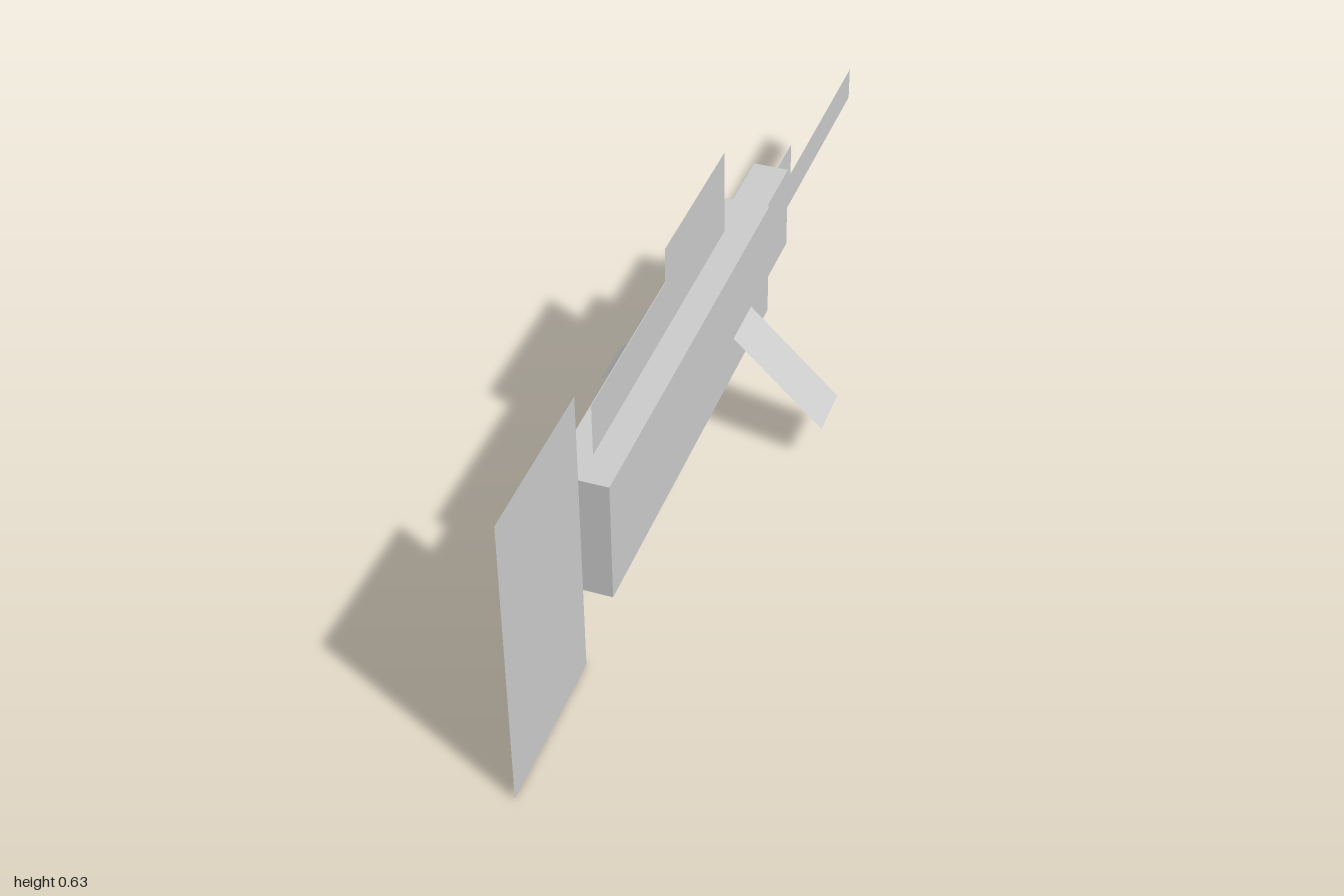
import * as THREE from 'three';

const CX = -0.007; // middle plane of the body

export function createModel() {
  const group = new THREE.Group();
  const solid = new THREE.MeshStandardMaterial({ color: 0xcccccc, flatShading: true });
  const sheet = new THREE.MeshStandardMaterial({ color: 0xcccccc, flatShading: true, side: THREE.DoubleSide });

  function add(name, geometry, material) {
    const mesh = new THREE.Mesh(geometry, material);
    mesh.name = name;
    group.add(mesh);
    return mesh;
  }

  // Box given by its limits on each axis
  function box(name, [x0, x1], [y0, y1], [z0, z1]) {
    const mesh = add(name, new THREE.BoxGeometry(x1 - x0, y1 - y0, z1 - z0), solid);
    mesh.position.set((x0 + x1) / 2, (y0 + y1) / 2, (z0 + z1) / 2);
  }

  // Thin upright plate in the middle plane, outlined by [z, y] points
  function plate(name, outline) {
    const shape = new THREE.Shape(outline.map(([z, y]) => new THREE.Vector2(-z, y)));
    const mesh = add(name, new THREE.ShapeGeometry(shape), sheet);
    mesh.rotation.y = Math.PI / 2;
    mesh.position.x = CX;
  }

  // Body and the narrower block behind it
  box('body', [-0.06, 0.05], [0.187, 0.445], [-0.22, 0.665]);
  box('rearBlock', [-0.042, 0.031], [0.225, 0.411], [-0.405, -0.22]);

  // Flat plates along the middle
  plate('frontPlate', [[1, 0], [0.665, 0], [0.665, 0.63], [1, 0.63]]);
  plate('topFin', [[0.595, 0.445], [-0.11, 0.445], [-0.11, 0.63], [0.225, 0.63], [0.225, 0.555], [0.595, 0.555]]);
  plate('bottomFin', [[0.555, 0.187], [0.555, 0.118], [0.263, 0.118], [0.263, 0.043], [0.08, 0.043], [0.08, 0.187]]);
  plate('tail', [[-0.405, 0.225], [-1, 0.225], [-1, 0.3], [-0.55, 0.3], [-0.55, 0.375], [-0.405, 0.375]]);

  // Side fins sloping down and outwards from the body walls
  for (const [name, inner, outer] of [['leftFin', 0.05, 0.235], ['rightFin', -0.06, -0.235]]) {
    const run = outer - inner;
    const drop = 0.18;
    const mesh = add(name, new THREE.PlaneGeometry(Math.hypot(run, drop), 0.11).rotateX(-Math.PI / 2), sheet);
    mesh.rotation.z = Math.atan(-drop / run);
    mesh.position.set((inner + outer) / 2, 0.275 - drop / 2, -0.055);
  }

  return group;
}
